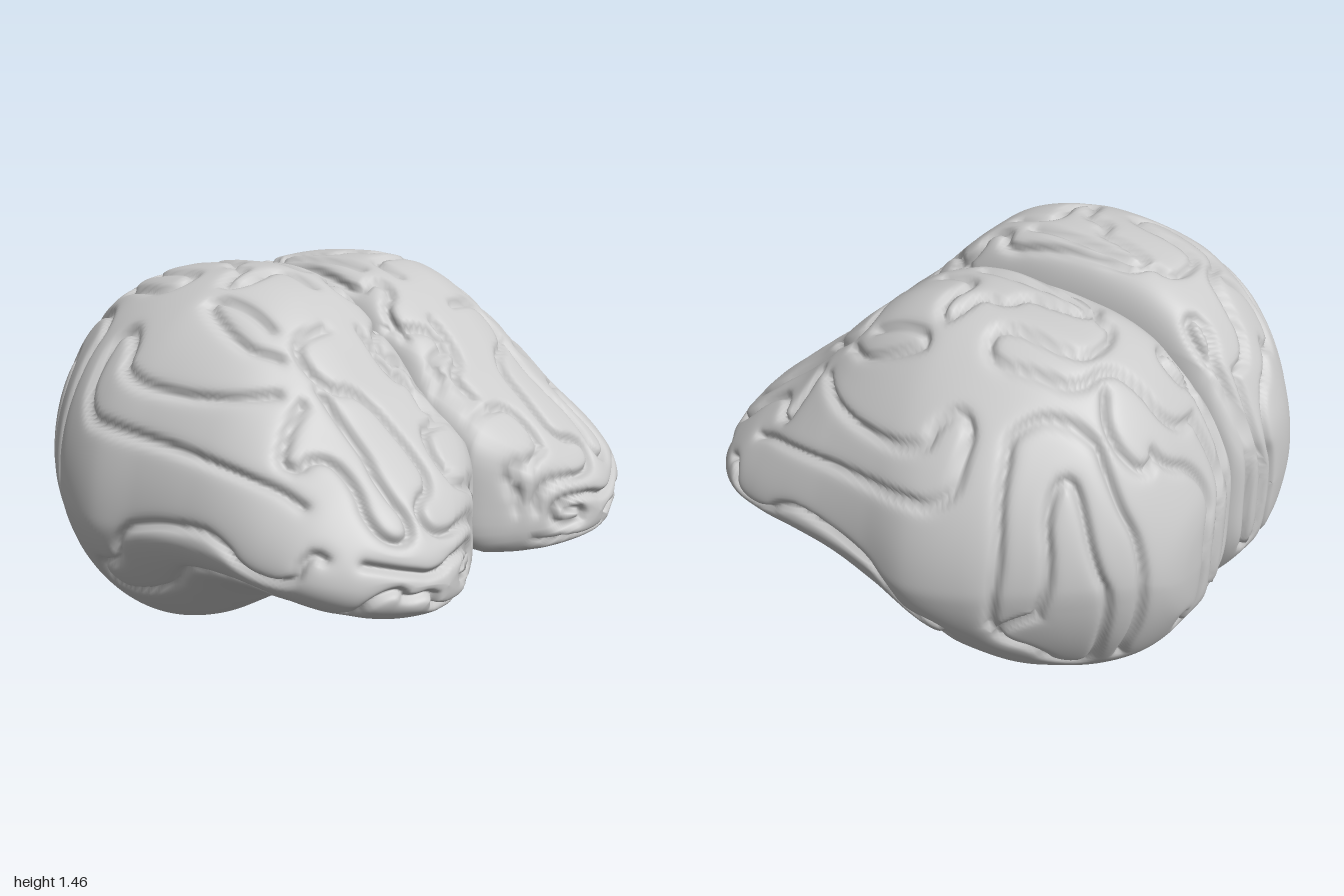
import * as THREE from 'three';

// Cross-sections of one hemisphere, back to front:
// z, inner x, crest x, outer x, bottom y, widest y, top y
const SECTIONS = [
  [-.96, .29, .29, .29, .6, .6, .6],
  [-.945, .10, .29, .43, .42, .61, .80],
  [-.90, .02, .30, .54, .32, .65, .94],
  [-.80, 0, .31, .68, .18, .69, 1.13],
  [-.68, 0, .31, .79, .08, .70, 1.28],
  [-.55, 0, .31, .875, .02, .69, 1.37],
  [-.40, 0, .32, .955, 0, .67, 1.42],
  [-.20, 0, .33, 1.0, .07, .65, 1.45],
  [0, 0, .34, .97, .19, .66, 1.455],
  [.20, 0, .35, .95, .32, .67, 1.40],
  [.38, 0, .36, .935, .40, .67, 1.26],
  [.55, 0, .37, .91, .42, .66, 1.09],
  [.70, 0, .39, .86, .425, .64, .97],
  [.82, .13, .42, .77, .44, .62, .86],
  [.90, .26, .44, .65, .47, .60, .76],
  [.945, .35, .45, .54, .50, .59, .68],
  [.96, .45, .45, .45, .58, .58, .58],
];

// Groove paths in hundredths, drawn flat and projected on to the surface
const TOP = [ // x, z
  [8, -82, 8, -76, 13, -73, 13, -65, 6, -65, 6, -76],
  [16, -82, 29, -80, 32, -68, 36, -60, 50, -56, 54, -42, 57, -28, 50, -21, 43, -25, 42, -46, 37, -54, 20, -53, 19, -44, 11, -40, 10, -22, 7, -4, 6, 12, 13, 13, 14, 22, 6, 24, 6, 34],
  [16, 4, 16, -10, 15, -38, 20, -43, 24, -30, 25, -20, 33, -18, 34, -8, 44, -6, 50, -2, 42, 3, 28, 0, 24, 5, 24, 16],
  [41, -82, 50, -80, 52, -69, 44, -63],
  [53, 24, 54, 2, 60, -2, 64, 20, 57, 32],
];
const FRONT = [ // x, y
  [4, 126, 15, 126, 17, 119, 8, 116, 6, 110, 6, 101, 15, 100, 25, 99, 27, 87, 20, 82, 10, 80, 9, 74, 14, 72, 12, 65],
  [20, 128, 20, 115, 12, 111, 14, 104],
  [18, 64, 20, 72, 28, 74, 43, 74, 48, 78, 47, 84, 36, 87, 35, 97, 37, 112, 51, 116, 51, 129, 35, 131],
  [52, 116, 52, 100, 55, 90, 53, 78, 60, 74, 66, 80, 62, 92, 64, 99, 77, 94, 70, 104, 60, 112],
  [72, 70, 60, 66, 50, 63, 38, 67, 25, 65, 24, 56, 35, 56, 36, 61, 29, 61],
  [21, 49, 35, 49, 50, 50, 50, 57, 61, 56, 63, 61, 72, 57, 72, 50],
];
const SIDE = [ // z, y
  [74, 72, 70, 74, 66, 62, 50, 62, 38, 72, 25, 73, 0, 68, -9, 60, -13, 48, -27, 45, -28, 36, -20, 31, 0, 38, 10, 48, 18, 54, 40, 56, 55, 53, 65, 48],
  [62, 86, 50, 91, 20, 96, -10, 98, -32, 100, -33, 122, -27, 128, -20, 125, -18, 115, 10, 112, 38, 115],
];
const REAR_SIDE = [ // z, y
  [-76, 24, -87, 50, -88, 78, -76, 106, -64, 124, -44, 128, -47, 111, -51, 86, -50, 68, -47, 50],
  [-61, 57, -49, 49, -48, 42, -56, 34, -57, 22, -66, 20, -74, 34, -81, 62, -77, 80, -70, 103, -64, 112, -61, 106, -66, 76, -61, 57],
];
const BACK = [ // x, y
  [8, 112, 8, 80, 10, 40, 16, 36, 19, 48, 18, 74, 14, 88, 16, 110],
  [35, 40, 34, 34, 30, 31, 27, 40, 27, 70, 22, 85, 27, 98, 38, 104, 41, 110],
];

// Smooth interpolation of the section table, t in 0..1
function sectionAt(t) {
  const n = SECTIONS.length - 1, f = t * n, i = Math.min(n - 1, Math.floor(f)), w = f - i;
  const row = k => SECTIONS[Math.max(0, Math.min(n, k))];
  return row(i).map((p1, k) => {
    const p0 = row(i - 1)[k], p2 = row(i + 1)[k], p3 = row(i + 2)[k];
    return p1 + .5 * w * (p2 - p0 + w * (2 * p0 - 5 * p1 + 4 * p2 - p3 + w * (3 * (p1 - p2) + p3 - p0)));
  });
}

// Closed outline with a flat inner wall, resampled evenly with fewer points on that wall
function outline(t, count) {
  const [z, xi, xc, xo, bottom, yw, top] = sectionAt(t);
  const front = THREE.MathUtils.smoothstep(z, .1, .6), tip = THREE.MathUtils.smoothstep(z, .75, .95);
  const brow = THREE.MathUtils.smoothstep(z, -.1, .25);
  const fine = 360, pts = [], len = [0];
  for (let k = 0; k <= fine; k++) {
    const a = Math.PI - k / fine * Math.PI * 2, c = Math.cos(a), s = Math.sin(a);
    const rx = Math.max(1e-4, c < 0 ? xc - Math.max(0, xi) : xo - xc);
    const ry = Math.max(1e-4, s < 0 ? yw - bottom : top - yw);
    const n = c < 0 ? (s < 0 ? 3.4 : 5.2 - 2 * tip) : (s < 0 ? 1.62 + .33 * front : 1.93 - .2 * brow + .2 * tip);
    const r = Math.pow(Math.abs(c / rx) ** n + Math.abs(s / ry) ** n, -1 / n);
    pts.push([xc + r * c, yw + r * s]);
    if (k) {
      const d = Math.hypot(pts[k][0] - pts[k - 1][0], pts[k][1] - pts[k - 1][1]);
      len.push(len[k - 1] + d * (c < -.1 && s < .85 && s > -.9 ? .2 : 1));
    }
  }
  const out = [];
  for (let j = 0, k = 0; j < count; j++) {
    const goal = len[fine] * j / count;
    while (k < fine - 1 && len[k + 1] < goal) k++;
    const w = (goal - len[k]) / (len[k + 1] - len[k] || 1);
    out.push(pts[k][0] + (pts[k + 1][0] - pts[k][0]) * w, pts[k][1] + (pts[k + 1][1] - pts[k][1]) * w, z);
  }
  return out;
}

// Round the corners of a flat path and drop it on to the surface seen along an axis
function project(path, u, v, axis, sign, pos, nor) {
  let flat = [];
  for (let k = 0; k < path.length; k += 2) flat.push(new THREE.Vector3(path[k] / 100, path[k + 1] / 100, 0));
  const last = flat.length - 1;
  flat = flat.flatMap((p, k) => k === 0 || k === last ? [p]
    : [p.clone().lerp(flat[k - 1], .27), p.clone().lerp(flat[k + 1], .27)]);
  const curve = new THREE.CatmullRomCurve3(flat, false, 'centripetal');
  return curve.getSpacedPoints(Math.ceil(curve.getLength() / .02)).map(p => {
    let best = .003, at = -1;
    for (let i = 0; i < pos.length; i += 3) {
      if (nor[i + axis] * sign < .12) continue;
      const d = (pos[i + u] - p.x) ** 2 + (pos[i + v] - p.y) ** 2;
      if (d < best) { best = d; at = i; }
    }
    if (at < 0) return null;
    const q = [0, 0, 0];
    q[u] = p.x; q[v] = p.y;
    // depth follows the tangent plane of the nearest vertex
    q[axis] = pos[at + axis]
      - (nor[at + u] * (p.x - pos[at + u]) + nor[at + v] * (p.y - pos[at + v])) / nor[at + axis];
    return q;
  });
}

// Keep the squared distance from every vertex to the nearest groove
function measure(samples, pos, dist) {
  for (let k = 1; k < samples.length; k++) {
    const a = samples[k - 1], b = samples[k];
    if (!a || !b) continue;
    const ex = b[0] - a[0], ey = b[1] - a[1], ez = b[2] - a[2], ee = ex * ex + ey * ey + ez * ez;
    if (ee > .03) continue;
    for (let i = 0; i < pos.length; i += 3) {
      const dx = pos[i] - a[0], dy = pos[i + 1] - a[1], dz = pos[i + 2] - a[2];
      if (Math.abs(dx) > .25 || Math.abs(dz) > .25) continue;
      const w = Math.max(0, Math.min(1, (dx * ex + dy * ey + dz * ez) / (ee || 1)));
      const d = (dx - w * ex) ** 2 + (dy - w * ey) ** 2 + (dz - w * ez) ** 2;
      if (d < dist[i / 3]) dist[i / 3] = d;
    }
  }
}

function hemisphereData() {
  const rows = 200, cols = 180, pos = [], index = [];
  for (let i = 0; i <= rows; i++) pos.push(...outline(i / rows, cols));
  for (let i = 0; i < rows; i++) for (let j = 0; j < cols; j++) {
    const a = i * cols + j, b = i * cols + (j + 1) % cols, c = a + cols, d = b + cols;
    index.push(a, c, b, b, c, d);
  }
  const base = new THREE.BufferGeometry();
  base.setAttribute('position', new THREE.Float32BufferAttribute(pos, 3));
  base.setIndex(index);
  base.computeVertexNormals();
  const nor = base.attributes.normal.array;

  // carve the grooves: a sharp furrow with softly rounded shoulders
  const dist = new Float32Array(pos.length / 3).fill(1);
  const carve = (paths, u, v, axis, sign) =>
    paths.forEach(p => measure(project(p, u, v, axis, sign, pos, nor), pos, dist));
  carve(TOP, 0, 2, 1, 1);
  carve(FRONT, 0, 1, 2, 1);
  carve(SIDE, 2, 1, 0, 1);
  carve(REAR_SIDE, 2, 1, 0, 1);
  carve(BACK, 0, 1, 2, -1);
  const carved = pos.map((p, k) => {
    const d = dist[Math.floor(k / 3)];
    return p - nor[k] * (.026 * Math.exp(-d / .0002) + .008 * Math.exp(-d / .001));
  });
  return { carved, index };
}

export function createModel() {
  const group = new THREE.Group();
  group.name = 'brain';
  const material = new THREE.MeshStandardMaterial({ color: 0xcccccc, roughness: .7 });
  const { carved, index } = hemisphereData();
  for (const side of [1, -1]) {
    const geo = new THREE.BufferGeometry();
    const pts = [];
    for (let k = 0; k < carved.length; k += 3) {
      const [x, y, z] = carved.slice(k, k + 3);
      // the left crown is lower and slopes away more; the cleft sits slightly right of centre
      const crown = side > 0 && y > .6 ? .95 - .06 * THREE.MathUtils.smoothstep(x, .35, .8) : 1;
      pts.push(x * side - .018 * Math.exp(-((x / .2) ** 2)), .6 + (y - .6) * crown, z);
    }
    geo.setAttribute('position', new THREE.Float32BufferAttribute(pts, 3));
    geo.setIndex(side > 0 ? index : index.slice().reverse());
    geo.computeVertexNormals();
    const mesh = new THREE.Mesh(geo, material);
    mesh.name = side > 0 ? 'leftHemisphere' : 'rightHemisphere';
    group.add(mesh);
  }
  return group;
}
